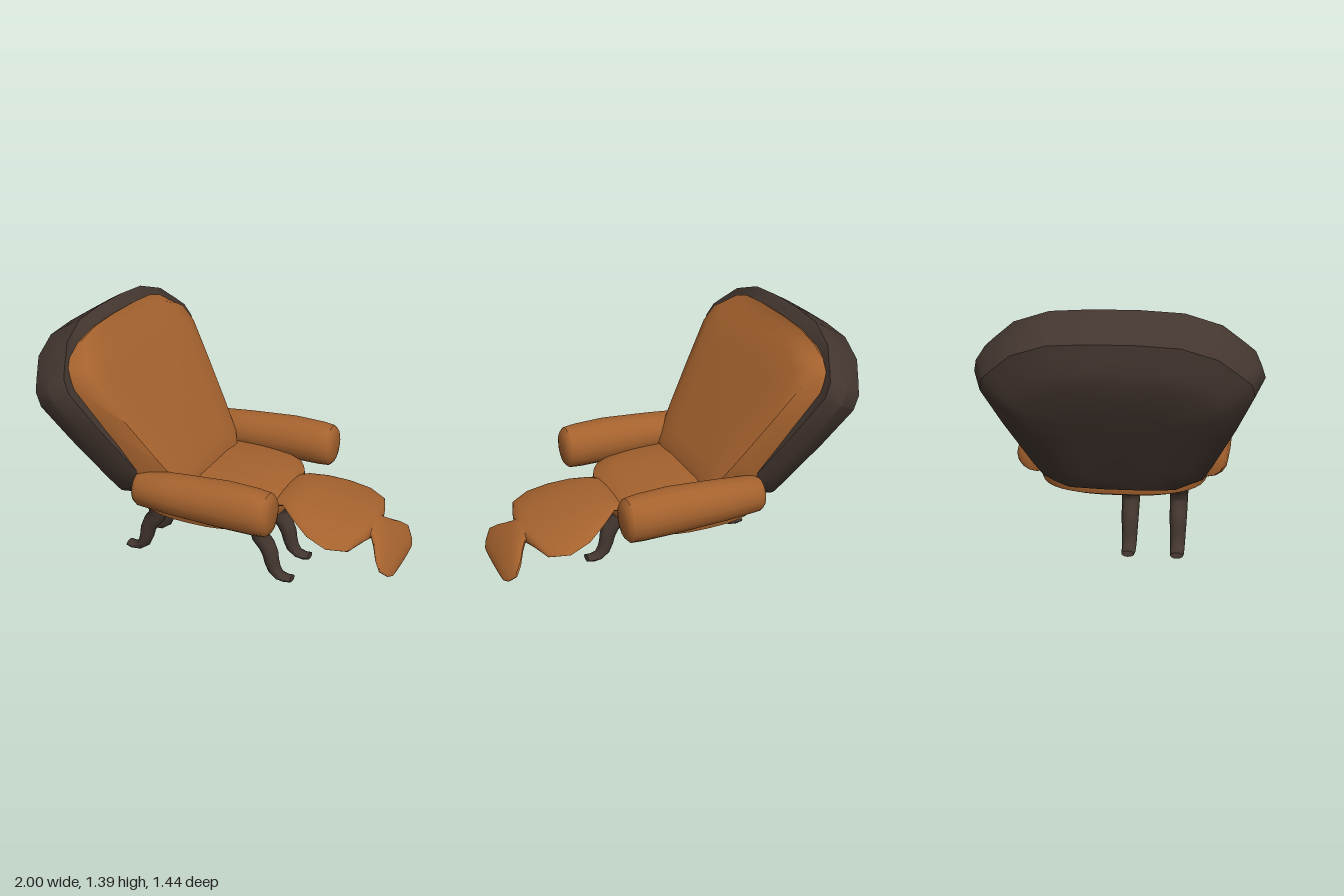
import * as THREE from 'three';
import { toCreasedNormals } from 'three/addons/utils/BufferGeometryUtils.js';

const V = (x, y, z) => new THREE.Vector3(x, y, z);

// Closed solid through equal-sized rings of points, capped at both ends
function loft(rings, crease = 0.7) {
  const n = rings[0].length, tris = [];
  const centre = (r) => r.reduce((s, p) => s.add(p), V(0, 0, 0)).divideScalar(n);
  for (let i = 0; i < rings.length - 1; i++) {
    for (let j = 0; j < n; j++) {
      const k = (j + 1) % n, a = rings[i], b = rings[i + 1];
      tris.push([a[j], a[k], b[k]], [a[j], b[k], b[j]]);
    }
  }
  const first = rings[0], last = rings[rings.length - 1];
  const c0 = centre(first), c1 = centre(last);
  for (let j = 0; j < n; j++) {
    const k = (j + 1) % n;
    tris.push([c0, first[k], first[j]], [c1, last[j], last[k]]);
  }
  // Signed volume tells whether the faces point outward
  const volume = tris.reduce((s, [a, b, c]) => s + a.dot(b.clone().cross(c)), 0);
  const pts = tris.flatMap((t) => (volume < 0 ? [t[0], t[2], t[1]] : t));
  return toCreasedNormals(new THREE.BufferGeometry().setFromPoints(pts), crease);
}

// Ellipse ring: centre plus two half-axis vectors
function ellipse(c, u, w, n = 16) {
  return Array.from({ length: n }, (_, i) => {
    const a = (i / n) * Math.PI * 2;
    return c.clone().addScaledVector(u, Math.cos(a)).addScaledVector(w, Math.sin(a));
  });
}

// Reclined plane of the back: w across, v up along the back, d forward
const recline = (w, v, d) => V(-0.5 * v + 0.866 * d, 0.866 * v + 0.5 * d, w);

// Mirror a half outline, shrink it at the sides and top (less at the bottom), place it at depth(v)
function backRing(half, depth, sideInset, topInset = sideInset) {
  const full = [...half, ...half.slice().reverse().map(([w, v]) => [-w, v])];
  return full.map(([w, v]) => {
    const up = 1.1 + (v - 1.1) * (1 - (topInset / 0.5) * (v < 1.1 ? 0.4 : 1));
    return recline(w * (1 - sideInset / 0.72), up, depth(up));
  });
}

// Rounded-square ring lying flat, for the seat
function seatRing(y, inset) {
  const n = 40, e = 2 / 2.8;
  return Array.from({ length: n }, (_, i) => {
    const a = (i / n) * Math.PI * 2, c = Math.cos(a), s = Math.sin(a);
    return V(-0.095 + (0.435 - inset) * Math.sign(c) * Math.abs(c) ** e, y,
      -0.02 + (0.47 - inset) * Math.sign(s) * Math.abs(s) ** e);
  });
}

export function createModel() {
  const leather = new THREE.MeshStandardMaterial({ color: 0xa5622e });
  leather.name = 'tan leather';
  const wood = new THREE.MeshStandardMaterial({ color: 0x43362f });
  wood.name = 'dark wood';

  const model = new THREE.Group();
  model.name = 'recliningChair';
  const add = (name, geometry, material) => {
    const mesh = new THREE.Mesh(geometry, material);
    mesh.name = name;
    model.add(mesh);
    return mesh;
  };

  // Backrest shell: bulging rear, flared sides, and a front rim that rises at the top
  const shell = [[0.12, 1.605], [0.34, 1.59], [0.53, 1.52], [0.65, 1.41], [0.7, 1.36],
    [0.72, 1.28], [0.63, 1.04], [0.5, 0.74], [0.45, 0.64], [0.36, 0.59], [0.12, 0.58]];
  const front = (v) => -0.03 + 0.04 * (v - 0.6);
  const rim = (v) => Math.max(-0.015, -0.02 + 0.75 * (v - 1.42));
  const shellRings = [
    [-0.335, 0.45, 0.4], [-0.33, 0.25, 0.2], [-0.3, 0.16, 0.12],
    [-0.255, 0.09, 0.05], [-0.23, 0.05, 0.005], [-0.1, 0, 0],
  ].map(([d, side, top]) => backRing(shell, () => d, side, top));
  add('backrestShell', loft([...shellRings,
    backRing(shell, front, 0.03, 0), backRing(shell, rim, 0.09, 0.085)], 0.65), wood);

  // Domed backrest cushion, thicker toward the seat
  const cushion = [[0.12, 1.53], [0.3, 1.52], [0.44, 1.485], [0.55, 1.435], [0.595, 1.4],
    [0.62, 1.28], [0.55, 1.0], [0.47, 0.72], [0.41, 0.54], [0.35, 0.47], [0.12, 0.46]];
  const swell = (v) => 0.13 - 0.05 * (v - 0.6);
  add('backrestCushion', loft([
    backRing(cushion, () => -0.06, 0),
    backRing(cushion, (v) => rim(v) + 0.004, 0),
    backRing(cushion, (v) => swell(v) - 0.022, 0.06),
    backRing(cushion, (v) => swell(v) - 0.004, 0.16),
    backRing(cushion, swell, 0.32),
  ], 0.9), leather);

  // Seat cushion and its dark underside
  add('seatCushion', loft([
    seatRing(0.33, 0.06), seatRing(0.345, 0.01), seatRing(0.38, 0), seatRing(0.42, 0.005),
    seatRing(0.455, 0.05), seatRing(0.48, 0.13), seatRing(0.5, 0.3),
  ]), leather);
  add('seatBase', loft([seatRing(0.312, 0.14), seatRing(0.322, 0.06), seatRing(0.335, 0.06)]), wood);

  // Padded arms: x, centre height, half height, half depth
  const armSections = [
    [-0.4, 0.505, 0.06, 0.055], [-0.39, 0.505, 0.09, 0.085], [-0.36, 0.505, 0.102, 0.105],
    [-0.15, 0.509, 0.118, 0.118], [0.14, 0.517, 0.131, 0.125], [0.32, 0.515, 0.129, 0.118],
    [0.39, 0.513, 0.123, 0.108], [0.41, 0.513, 0.1, 0.09], [0.42, 0.513, 0.06, 0.055],
  ];
  for (const [name, z] of [['leftArm', 0.445], ['rightArm', -0.485]]) {
    add(name, loft(armSections.map(([x, y, h, w]) =>
      ellipse(V(x, y, z), V(0, h, 0), V(0, 0, w)))), leather);
  }

  // Lens-shaped pads with drooping edges: x, centre height, half width, half thickness
  const pad = (sections) => loft(sections.map(([x, y, w, t, droop = 0]) =>
    ellipse(V(x, y, -0.025), V(0, t, 0), V(0, 0, w), 20).map((p) => {
      p.y -= droop * ((p.z + 0.025) / w) ** 2;
      return p;
    })), 0.9);
  add('legRest', pad([
    [0.29, 0.415, 0.2, 0.025], [0.36, 0.433, 0.205, 0.034], [0.45, 0.413, 0.28, 0.04, 0.01],
    [0.56, 0.385, 0.35, 0.044, 0.025], [0.68, 0.355, 0.375, 0.044, 0.03],
    [0.78, 0.329, 0.32, 0.041, 0.02], [0.82, 0.317, 0.2, 0.038], [0.84, 0.308, 0.115, 0.034],
  ]), leather);
  add('footRest', pad([
    [0.82, 0.32, 0.12, 0.032], [0.845, 0.305, 0.115, 0.04], [0.87, 0.28, 0.15, 0.046],
    [0.91, 0.24, 0.225, 0.045, 0.005], [0.945, 0.2, 0.265, 0.044], [0.98, 0.155, 0.225, 0.035],
    [0.997, 0.137, 0.18, 0.018],
  ]), leather);

  // Curved legs: distance from middle, height, radius along x, radius along z
  const legPath = [
    [0.325, 0.335, 0.07, 0.052], [0.305, 0.295, 0.056, 0.049], [0.315, 0.25, 0.05, 0.048],
    [0.353, 0.205, 0.048, 0.047], [0.376, 0.155, 0.045, 0.045], [0.386, 0.105, 0.041, 0.042],
    [0.403, 0.06, 0.037, 0.04], [0.435, 0.028, 0.026, 0.038], [0.475, 0.02, 0.019, 0.037],
    [0.51, 0.026, 0.016, 0.034],
  ];
  const legRings = legPath.map(([x, y, r, w], i) => {
    const a = legPath[Math.max(i - 1, 0)], b = legPath[Math.min(i + 1, legPath.length - 1)];
    const across = i === 0 ? V(1, 0, 0) : V(a[1] - b[1], b[0] - a[0], 0).normalize();
    return ellipse(V(x, y, 0), across.multiplyScalar(r), V(0, 0, w), 12);
  });
  for (const [side, name, zs] of [[1, 'frontLeg', [0.25, -0.015]], [-1, 'rearLeg', [0.29, 0.03]]]) {
    const geometry = loft(legRings.map((ring) => ring.map((p) => V(p.x * side, p.y, p.z))), 0.9);
    for (const z of zs) add(name, geometry, wood).position.set(-0.055, 0, z);
  }

  return model;
}
